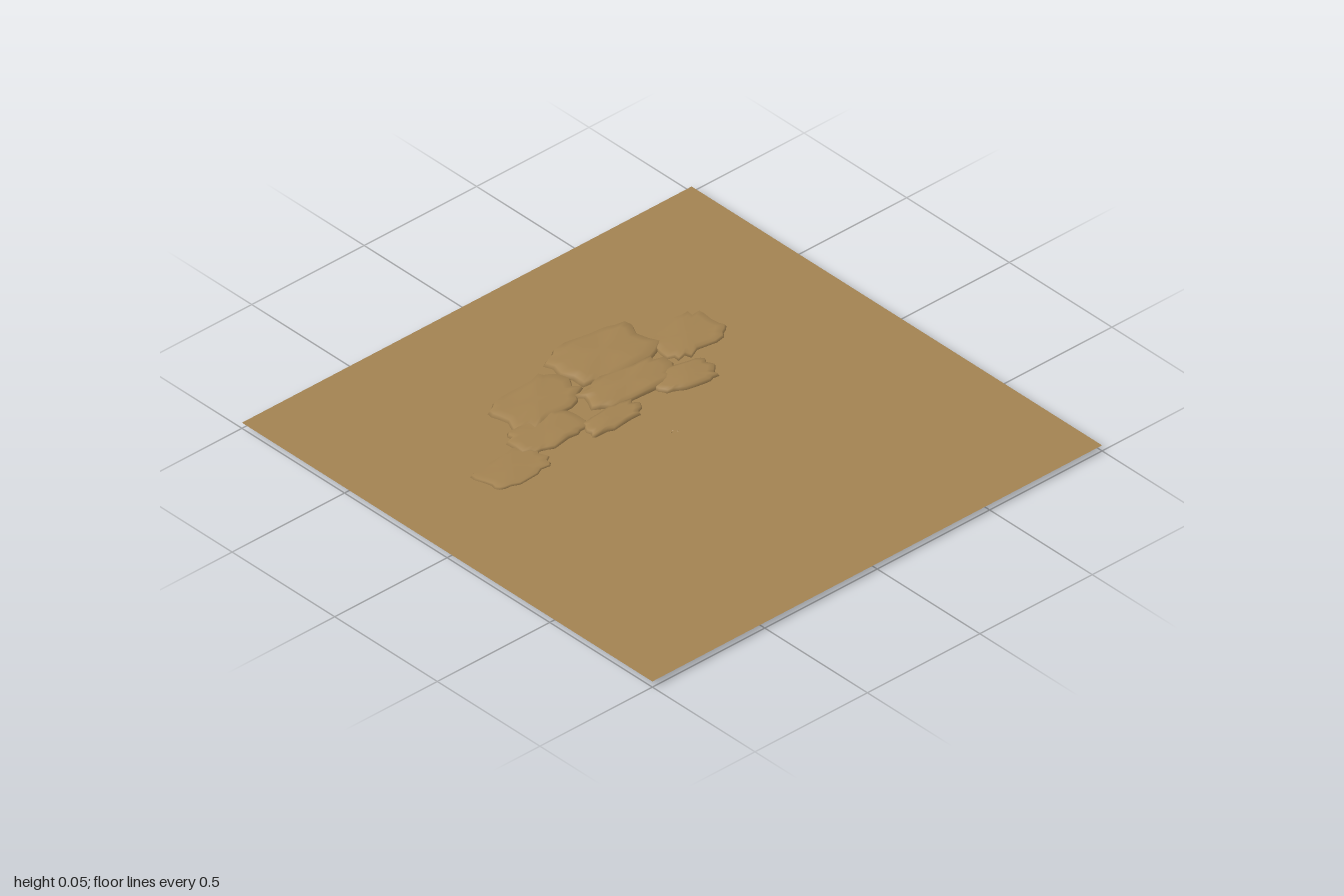
import * as THREE from 'three';

const MID = 0.0225; // level of the ground sheet; slabs bulge above and below it
const SIDES = 26; // points around each ragged slab

// Small seeded random source
function seeded(seed) {
  let s = seed;
  return () => {
    s = (s * 16807) % 2147483647;
    return s / 2147483647;
  };
}

// Cross-section of a slab: scale toward the centre, height fraction
const RINGS = [[0.4, -0.9], [0.75, -0.85], [0.95, -0.7], [1, 0], [0.95, 0.7], [0.75, 0.85], [0.4, 0.9]];

// Rounded box outline with a jagged edge, turned about its centre
function raggedOutline(halfWidth, halfDepth, turn, rand) {
  const squarish = (v) => Math.sign(v) * Math.abs(v) ** 0.6;
  const loop = [];
  for (let j = 0; j < SIDES; j++) {
    const t = (j / SIDES) * Math.PI * 2;
    const rough = 0.87 + rand() * 0.24;
    const x = squarish(Math.cos(t)) * halfWidth * rough;
    const z = squarish(Math.sin(t)) * halfDepth * rough;
    loop.push([x * Math.cos(turn) - z * Math.sin(turn), x * Math.sin(turn) + z * Math.cos(turn)]);
  }
  return loop;
}

// Closed slab lofted through the rings, with a gently wavy face
function slabGeometry(halfWidth, halfDepth, half, turn, rand) {
  const loop = raggedOutline(halfWidth, halfDepth, turn, rand);
  const phase = rand() * 6;
  const pos = [];
  const idx = [];
  RINGS.forEach(([scale, h], r) => {
    loop.forEach(([x, z], j) => {
      const wave = 0.9 + 0.1 * Math.sin(x * scale * 31 + z * scale * 23 + phase);
      pos.push(x * scale, h * half * wave, z * scale);
      if (r < RINGS.length - 1) {
        const a = r * SIDES + j;
        const b = r * SIDES + (j + 1) % SIDES;
        idx.push(a, a + SIDES, b, b, a + SIDES, b + SIDES);
      }
    });
  });

  // Close the underside and the top
  const bottom = RINGS.length * SIDES;
  const last = bottom - SIDES;
  pos.push(0, -half, 0, 0, half, 0);
  for (let j = 0; j < SIDES; j++) {
    const k = (j + 1) % SIDES;
    idx.push(bottom, j, k, bottom + 1, last + k, last + j);
  }
  const g = new THREE.BufferGeometry();
  g.setAttribute('position', new THREE.Float32BufferAttribute(pos, 3));
  g.setIndex(idx);
  g.computeVertexNormals();
  return g;
}

export function createModel() {
  const group = new THREE.Group();
  group.name = 'rockyGround';
  const earth = new THREE.MeshStandardMaterial({ color: 0xa28251, side: THREE.DoubleSide });
  earth.name = 'earth brown';
  const rand = seeded(41);

  function add(name, geometry, x, y, z) {
    const mesh = new THREE.Mesh(geometry, earth);
    mesh.name = name;
    mesh.position.set(x, y, z);
    group.add(mesh);
    return mesh;
  }

  // Flat sheet of ground
  add('ground', new THREE.PlaneGeometry(2, 2).rotateX(-Math.PI / 2), 0, MID, 0);

  // Cracked rock slabs: centre x and z, half width, half depth, half thickness, turn
  const slab = (name, x, z, halfWidth, halfDepth, half, turn) =>
    add(name, slabGeometry(halfWidth, halfDepth, half, turn, rand), x, MID, z);
  slab('backSlab', 0.13, -0.49, 0.19, 0.12, 0.0225, 0);
  slab('backRightSlab', -0.21, -0.43, 0.165, 0.1, 0.018, -0.15);
  slab('middleRightSlab', -0.3, -0.285, 0.135, 0.085, 0.016, 0);
  slab('farRightSlab', -0.52, -0.21, 0.135, 0.08, 0.01, 0);
  slab('middleSlab', 0.08, -0.305, 0.18, 0.08, 0.021, 0.05);
  slab('frontSlab', -0.09, -0.195, 0.12, 0.05, 0.017, 0);
  slab('frontLeftSlab', 0.25, -0.215, 0.11, 0.065, 0.019, 0.2);
  slab('farLeftSlab', 0.41, -0.38, 0.135, 0.09, 0.015, -0.1);

  // Tiny loose chips near the middle
  for (const [x, z, size] of [[-0.008, 0.004, 0.006], [0.004, 0, 0.004], [0.015, 0.012, 0.005]]) {
    const chip = add('chip', new THREE.TetrahedronGeometry(size), x, 0.034, z);
    chip.scale.y = 0.5;
    chip.rotation.y = rand() * 6;
  }
  return group;
}
